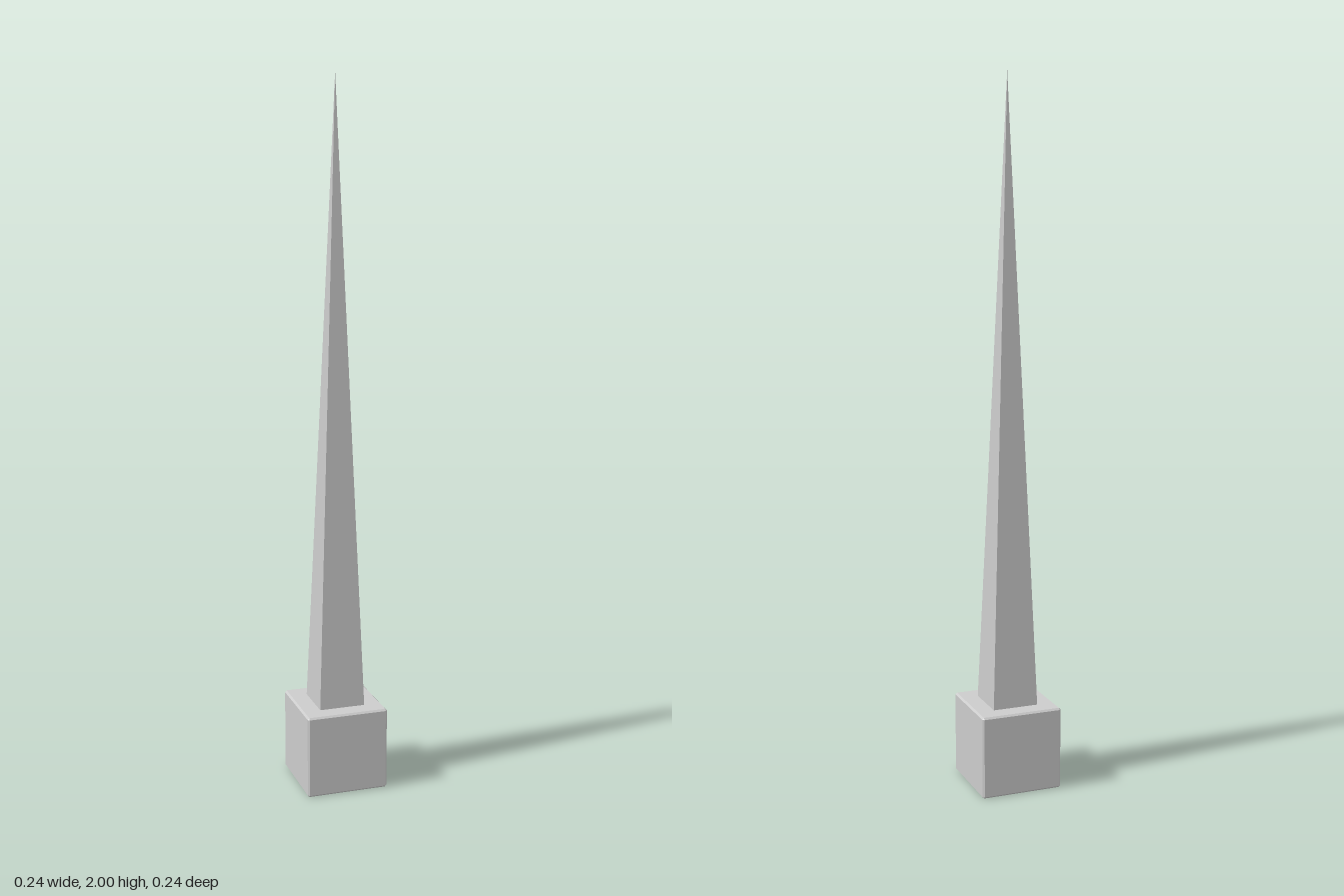
import * as THREE from 'three';
import { ConvexGeometry } from 'three/addons/geometries/ConvexGeometry.js';

const HALF = 0.118;    // half side of the base block
const BEVEL = 0.005;   // chamfer along its edges
const TIP = 2;         // height of the point
const SPIKE = 0.066;   // half width of the spike where it meets the block

// Cube with every edge chamfered: three corner points per cube corner
function chamferedCube(half, bevel) {
  const inner = half - bevel;
  const points = [];
  for (const x of [-1, 1]) for (const y of [-1, 1]) for (const z of [-1, 1]) {
    points.push(
      new THREE.Vector3(x * half, y * inner, z * inner),
      new THREE.Vector3(x * inner, y * half, z * inner),
      new THREE.Vector3(x * inner, y * inner, z * half),
    );
  }
  return new ConvexGeometry(points);
}

export function createModel() {
  const group = new THREE.Group();
  group.name = 'spikeOnBlock';
  const material = new THREE.MeshStandardMaterial({ color: 0xcccccc, flatShading: true });

  // Base block
  const base = new THREE.Mesh(chamferedCube(HALF, BEVEL), material);
  base.name = 'baseBlock';
  base.position.y = HALF;
  group.add(base);

  // Four-sided spike standing on the block
  const height = TIP - 2 * HALF;
  const spikeGeometry = new THREE.ConeGeometry(SPIKE * Math.SQRT2, height, 4);
  spikeGeometry.rotateY(Math.PI / 4);
  const spike = new THREE.Mesh(spikeGeometry, material);
  spike.name = 'spike';
  spike.position.y = 2 * HALF + height / 2;
  group.add(spike);

  return group;
}
